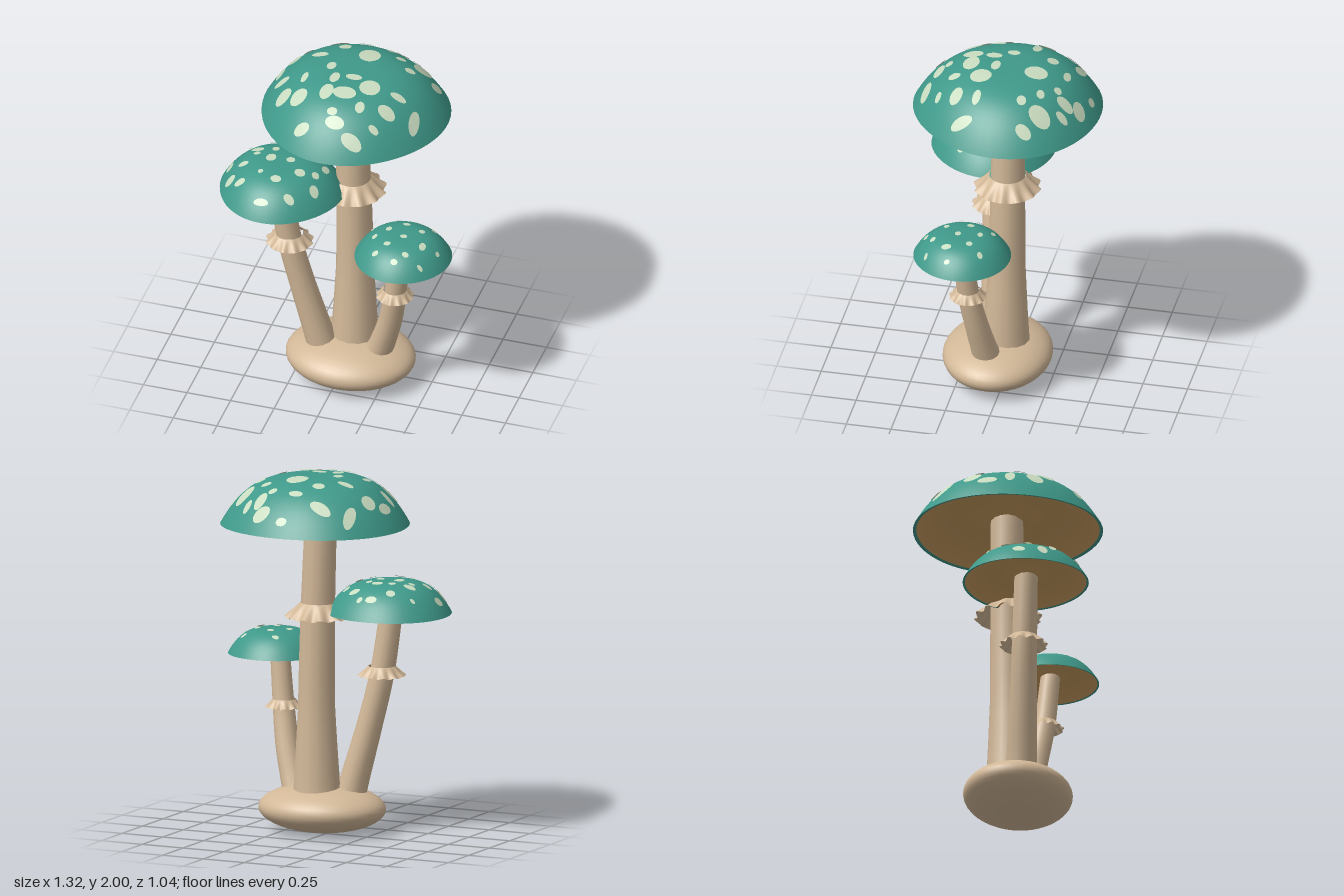
import * as THREE from 'three';
import { mergeGeometries, mergeVertices } from 'three/addons/utils/BufferGeometryUtils.js';

const material = (name, color, side = THREE.FrontSide) => {
  const m = new THREE.MeshStandardMaterial({ color, side });
  m.name = name;
  return m;
};
const flesh = material('tan flesh', 0xd2b898);
const frill = material('tan frill', 0xd2b898, THREE.DoubleSide);
const teal = material('teal cap', 0x3f998a);
const gill = material('brown gills', 0xc99c60);
const cream = material('pale spots', 0xc9dcc0, THREE.DoubleSide);

// Each cap spot is [x, z, half width, half depth] in hundredths, seen from above.
const bigSpots = [
  [4, -47, 3.2, 1.5], [18, -43, 5, 3.2], [22, -36, 3.5, 4.5], [30, -36, 2.3, 3.2], [17, -31, 2.5, 2.1],
  [2, -33, 4.2, 2], [-15, -37, 6.2, 2.8], [-30, -31, 2.8, 5.7], [37, -25, 5, 6], [25, -23, 3, 2.2],
  [-7, -23, 3.5, 3.2], [9, -17, 6, 6.5], [33, -14, 3, 2.6], [47, -18, 2.7, 4.4], [-33, -14, 3.5, 5],
  [-18, -12, 4.8, 2.6], [-38.5, -5, 2.2, 5.5], [-8, -1, 2.6, 3.5], [-34, 7, 4.2, 2.8], [-20, 10, 1.9, 4.1],
  [-3, 9, 2.7, 4.5], [7, 6, 4.6, 2.6], [18, 12, 5.8, 6], [34, 11, 4.5, 2.3], [45, 17, 2.6, 6],
  [-29, 20, 4.3, 4.7], [-19, 24, 4.7, 5.2], [-4, 21, 3.8, 5.7], [6, 20, 6.6, 4.6], [17, 27, 2.6, 3.4],
  [31, 23, 4.8, 3.6], [27, 34, 2.8, 1.7], [3, 33, 2.9, 2.1], [6, 38, 5.4, 3], [-12, 41, 4.3, 2.6],
  [17, 43, 5.9, 2.8],
];
const leftSpots = [
  [-54, -2, 1.5, 1], [-48, 6.5, 3.6, 2.4], [-61, 16, 1.8, 3.5], [-47, 11, 2, 1.6], [-57, 28.5, 2.7, 2.8],
  [-50, 33, 3, 2], [-40, 27, 1.5, 1.6], [-34.5, 44, 4.2, 1.4], [-52, 20, 2.8, 2.2], [-20, 39, 3, 2],
  [-30, 31, 3, 2.4], [-19, 22, 3, 3], [-8, 10, 2, 3.2], [-9, 28, 2.4, 3], [-30, 3, 3.2, 2.6],
  [-38, 14, 2.8, 3.4], [-20, -5, 3.2, 2], [-33, -11, 3.4, 1.7], [-42, -5, 2.6, 2.2], [-27, 13, 2.4, 2.4],
  [-24, 5, 1.8, 2.2], [-12, 1, 2, 2], [-26, -11, 1.7, 1.4], [-38, 5, 2, 2.2], [-11, 19, 2, 2.4],
];
const smallSpots = [
  [52, 24, 1.8, 2.8], [45, 33, 1.9, 1.5], [60, 22, 1, 1.6], [54, 35, 1.6, 1], [40, 20, 2, 1.7],
  [33, 28, 2, 1.6], [30, 15, 1.7, 2.1], [38, 8, 2.2, 1.5], [48, 12, 1.8, 1.8], [24, 22, 1.4, 2],
  [40, 38, 2, 1.3], [32, 2, 2, 1.3], [20, 12, 1.2, 2], [53, 5, 1.7, 1.5], [28, 34, 1.8, 1.4],
];

// Stem stations are [x, y, z, radius]; skirt sizes are top radius, hem radius and height.
const mushrooms = [
  { name: 'big', cap: [0.057, 1.722, 0], radius: 0.52, wobble: 1, spots: bigSpots,
    stem: [[0.058, 0.15, 0.008, 0.14], [0.059, 0.3, 0.006, 0.128], [0.058, 0.7, 0, 0.104], [0.05, 1.2, -0.003, 0.097], [0.028, 1.79, -0.005, 0.09]],
    skirt: [0.045, 1.205, 0], skirtSize: [0.1, 0.187, 0.08] },
  { name: 'left', cap: [-0.315, 1.232, 0.155], radius: 0.345, wobble: 1, spots: leftSpots,
    stem: [[-0.088, 0.15, 0.09, 0.092], [-0.125, 0.3, 0.102, 0.085], [-0.205, 0.6, 0.122, 0.075], [-0.275, 0.9, 0.14, 0.07], [-0.327, 1.28, 0.157, 0.065]],
    skirt: [-0.275, 0.88, 0.135], skirtSize: [0.074, 0.133, 0.055] },
  { name: 'small', cap: [0.39, 0.947, 0.18], radius: 0.268, wobble: 0.4, spots: smallSpots,
    stem: [[0.205, 0.18, 0.072, 0.084], [0.25, 0.3, 0.093, 0.074], [0.298, 0.46, 0.12, 0.067], [0.338, 0.67, 0.155, 0.061], [0.375, 0.985, 0.182, 0.055]],
    skirt: [0.337, 0.653, 0.158], skirtSize: [0.063, 0.105, 0.045] },
];

// Applies move(vertex) to every vertex, welds the seam and smooths the normals.
function reshape(geometry, move) {
  const p = geometry.attributes.position;
  const v = new THREE.Vector3();
  for (let i = 0; i < p.count; i++) {
    move(v.fromBufferAttribute(p, i));
    p.setXYZ(i, v.x, v.y, v.z);
  }
  geometry.deleteAttribute('uv');
  geometry.deleteAttribute('normal');
  const welded = mergeVertices(geometry, 1e-5);
  welded.computeVertexNormals();
  return welded;
}

function add(group, name, geometry, mat) {
  const mesh = new THREE.Mesh(geometry, mat);
  mesh.name = name;
  group.add(mesh);
  return mesh;
}

const lathe = (points, segments) =>
  new THREE.LatheGeometry(points.map(([x, y]) => new THREE.Vector2(x, y)), segments);

// Uneven outline of a cap, and height of its dome at t = 0 (middle) to 1 (rim).
function outline(angle, wobble) {
  const a = angle - Math.PI * 0.75;
  return 1 + wobble * (0.018 * (Math.cos(a) + Math.cos(3 * a)) - 0.033 * Math.sin(3 * angle) - 0.029 * Math.sin(angle));
}
const domeHeight = (t) => 0.522 * (1 - Math.pow(Math.min(t, 1), 3.5));

function addCap(group, { cap, radius, wobble, spots }) {
  const holder = new THREE.Group();
  holder.name = 'cap';
  holder.position.set(...cap);
  group.add(holder);
  const bend = (v) => {
    const k = radius * outline(Math.atan2(v.z, v.x), wobble);
    v.set(v.x * k, v.y * radius, v.z * k);
  };
  const dome = [];
  for (let i = 0; i <= 18; i++) {
    const t = Math.cos((i / 18) * Math.PI / 2);
    dome.push([i === 18 ? 0 : t, domeHeight(t)]);
  }
  add(holder, 'dome', reshape(lathe(dome, 56), bend), teal);
  add(holder, 'rim', reshape(lathe([[0.965, 0.008], [0.985, 0], [1, 0]], 56), bend), teal);
  // Hollow underside that dips to a collar where the stem enters
  const under = [[0, 0.1], [0.2, 0.1], [0.29, 0.16], [0.4, 0.205], [0.52, 0.21], [0.65, 0.185], [0.78, 0.135], [0.9, 0.065], [0.965, 0.008]];
  add(holder, 'gills', reshape(lathe(under, 56), bend), gill);

  // Spots drape over the dome just above its surface
  const patches = spots.map(([sx, sz, w, d]) => reshape(new THREE.CircleGeometry(1, 18), (v) => {
    const x = (sx + v.x * w) / 100 - cap[0];
    const z = (sz - v.y * d) / 100 - cap[2];
    const t = Math.hypot(x, z) / (radius * outline(Math.atan2(z, x), wobble));
    v.set(x, radius * domeHeight(t) + 0.007, z);
  }));
  add(holder, 'spots', mergeGeometries(patches), cream);
}

// Stem lofted along a curve, with the radius blended between stations
function addStem(group, stations) {
  const path = new THREE.CatmullRomCurve3(stations.map(([x, y, z]) => new THREE.Vector3(x, y, z)));
  const geometry = new THREE.CylinderGeometry(1, 1, 1, 14, 16, true);
  add(group, 'stem', reshape(geometry, (v) => {
    const t = v.y + 0.5;
    const s = t * (stations.length - 1);
    const i = Math.min(Math.floor(s), stations.length - 2);
    const r = THREE.MathUtils.lerp(stations[i][3], stations[i + 1][3], s - i);
    const c = path.getPoint(t);
    v.set(c.x + v.x * r, c.y, c.z + v.z * r);
  }), flesh);
}

// Flared skirt whose soft ruffles grow towards the hem
function addSkirt(group, position, [top, hem, height]) {
  const profile = [[1, 0], [0.85, 0.14], [0.62, 0.35], [0.38, 0.6], [0.16, 0.85], [0, 1]];
  const points = profile.map(([f, y]) => [top + (hem - top) * f, y * height]);
  const geometry = reshape(lathe(points, 96), (v) => {
    const f = (Math.hypot(v.x, v.z) - top) / (hem - top);
    const wave = Math.cos(12 * Math.atan2(v.z, v.x)) * f;
    const k = 1 + 0.055 * (wave - f * 0.8);
    v.set(v.x * k, v.y + height * 0.09 * wave, v.z * k);
  });
  add(group, 'skirt', geometry, frill).position.set(...position);
}

export function createModel() {
  const model = new THREE.Group();
  model.name = 'mushroomCluster';

  // Rounded mound the stems grow from
  const base = add(model, 'base', new THREE.SphereGeometry(1, 40, 24), flesh);
  base.scale.set(0.362, 0.132, 0.3);
  base.position.set(0.05, 0.132, 0.053);

  for (const m of mushrooms) {
    const group = new THREE.Group();
    group.name = `${m.name}Mushroom`;
    addStem(group, m.stem);
    addSkirt(group, m.skirt, m.skirtSize);
    addCap(group, m);
    model.add(group);
  }
  return model;
}
